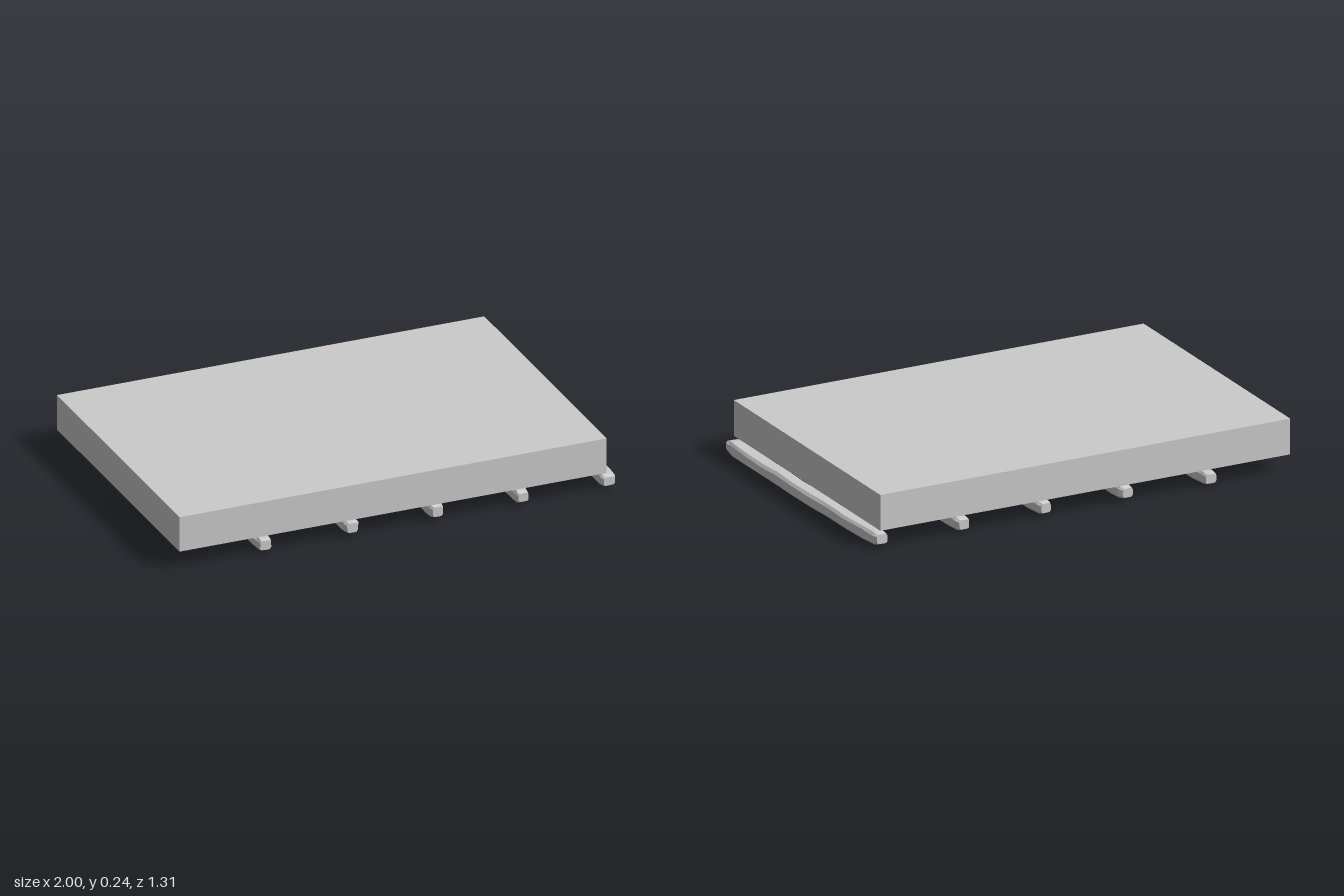
import * as THREE from 'three';

const grey = new THREE.MeshStandardMaterial({ color: 0xcccccc });
const facetedGrey = new THREE.MeshStandardMaterial({ color: 0xcccccc, flatShading: true });

// Seeded random numbers from -1 to 1
function seeded(seed) {
  let s = seed;
  return () => {
    s = (s * 16807) % 2147483647;
    return (s / 2147483647) * 2 - 1;
  };
}

// Square with cut corners, counter-clockwise as seen from the front
const SECTION = [[1, -0.6], [1, 0.6], [0.7, 1], [-0.7, 1], [-1, 0.6], [-1, -0.6], [-0.7, -1], [0.7, -1]];
// Stations along the beam: z and scale of the section
const STATIONS = [
  [-0.655, 0.7], [-0.635, 0.92], [-0.55, 1], [-0.4, 1], [-0.25, 1], [-0.1, 1],
  [0.05, 1], [0.2, 1], [0.32, 1], [0.45, 1], [0.6, 0.97], [0.637, 0.9], [0.655, 0.7],
];

// Rough-hewn beam lofted along z, bowed slightly sideways
function beamGeometry(seed, bow, sag) {
  const rand = seeded(seed);
  const n = SECTION.length;
  const positions = [];
  const index = [];
  STATIONS.forEach(([z, scale], i) => {
    const arch = 1 - (z / 0.655) ** 2;
    const cx = 0.006 * z / 0.655 + bow * arch + rand() * 0.002;
    const cy = 0.042 - sag * Math.exp(-(((z - 0.25) / 0.2) ** 2)) + rand() * 0.001;
    const w = (0.034 + rand() * 0.002) * scale;
    const h = (0.029 + rand() * 0.002) * scale;
    for (const [x, y] of SECTION) {
      positions.push(cx + x * w + rand() * 0.0015, cy + y * h + rand() * 0.001, z);
    }
    if (i === 0) return;
    for (let j = 0; j < n; j++) {
      const a = (i - 1) * n + j, b = (i - 1) * n + (j + 1) % n;
      index.push(a, b, b + n, a, b + n, a + n);
    }
  });
  // End caps
  const last = (STATIONS.length - 1) * n;
  for (let j = 1; j < n - 1; j++) {
    index.push(0, j + 1, j, last, last + j, last + j + 1);
  }
  const geometry = new THREE.BufferGeometry();
  geometry.setAttribute('position', new THREE.Float32BufferAttribute(positions, 3));
  geometry.setIndex(index);
  const faceted = geometry.toNonIndexed();
  faceted.computeVertexNormals();
  return faceted;
}

export function createModel() {
  const model = new THREE.Group();
  model.name = 'platform';

  // Flat deck
  const deck = new THREE.Mesh(new THREE.BoxGeometry(1.95, 0.16, 1.3), grey);
  deck.name = 'deck';
  deck.position.set(-0.025, 0.16, 0);
  model.add(deck);

  // Support beams: x, y offset, sideways bow, sag
  const beams = [
    [-0.612, -0.004, 0.002, 0.007],
    [-0.217, 0.003, 0.003, 0.003],
    [0.172, 0.003, 0.004, 0.002],
    [0.561, -0.002, 0.005, 0.004],
    [0.952, 0.001, 0.011, 0.002],
  ];
  beams.forEach(([x, y, bow, sag], i) => {
    const beam = new THREE.Mesh(beamGeometry(4211 + i * 977, bow, sag), facetedGrey);
    beam.name = `supportBeam${i + 1}`;
    beam.position.set(x, y, 0);
    model.add(beam);
  });
  return model;
}
